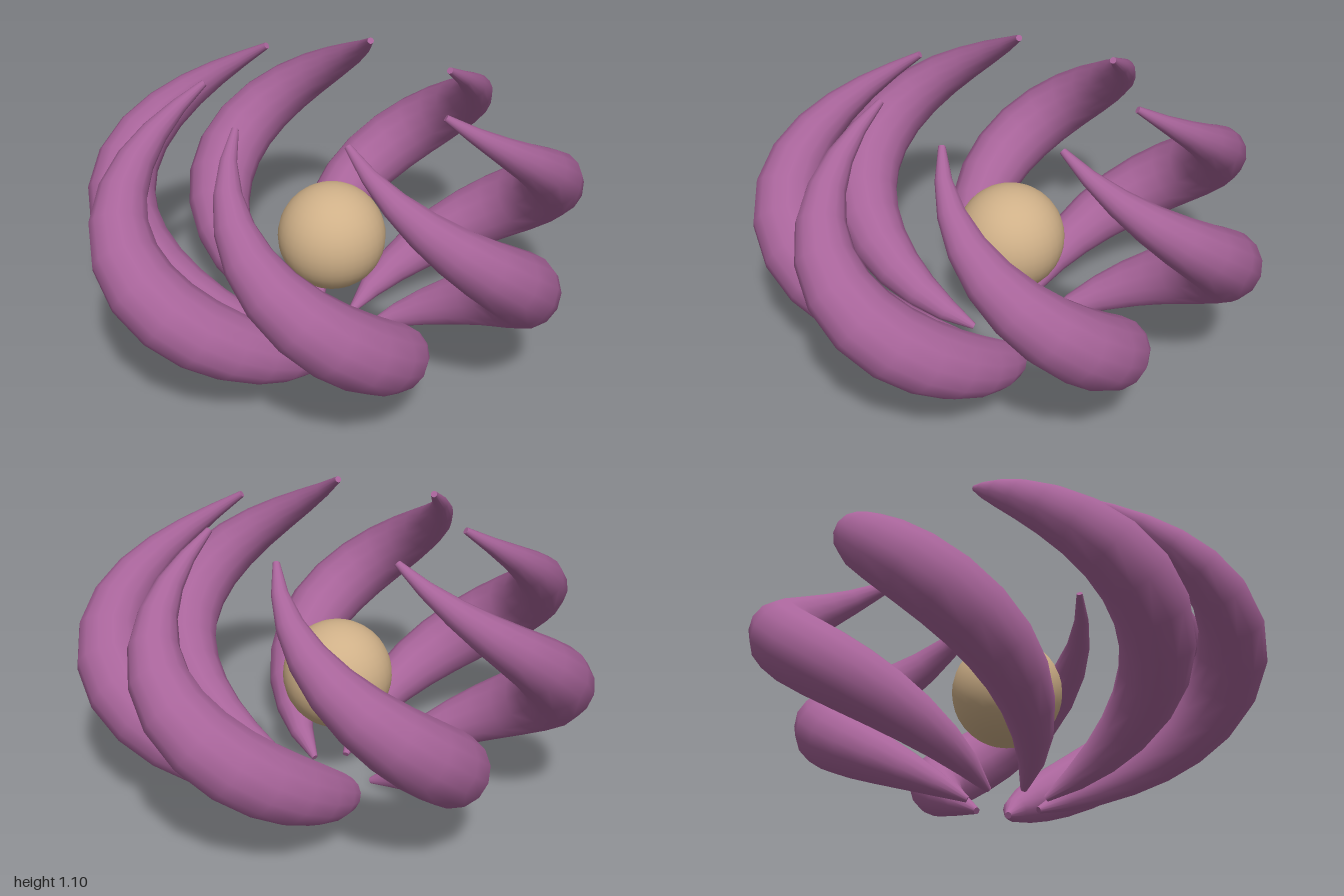
import * as THREE from 'three';

const PETALS = 7;
const SEGMENTS = 15;
const SIDES = 14;
const CENTRE_X = -0.03;

// Centreline of one petal: a quarter-turn spiral that bulges outwards as it climbs
class PetalCurve extends THREE.Curve {
  getPoint(t, target = new THREE.Vector3()) {
    const angle = t * Math.PI / 2;
    const r = 0.15 + 0.33 * t + 0.55 * Math.sin(Math.PI * t);
    return target.set(r * Math.cos(angle), 0.012 + 1.078 * t, r * Math.sin(angle));
  }
}

// Thickness along the petal, fullest just below the middle, thin at both ends
function thickness(t) {
  const s = Math.max(0, Math.sin(Math.PI * Math.pow(t, 0.8)));
  return 0.013 + 0.126 * Math.pow(s, 1.1);
}

// Unit tube whose rings are scaled to the petal thickness
function petalGeometry(curve) {
  const geo = new THREE.TubeGeometry(curve, SEGMENTS, 1, SIDES, false);
  const pos = geo.attributes.position;
  const p = new THREE.Vector3();
  for (let i = 0; i <= SEGMENTS; i++) {
    const u = i / SEGMENTS;
    const centre = curve.getPointAt(u);
    const radius = thickness(curve.getUtoTmapping(u));
    for (let j = 0; j <= SIDES; j++) {
      const k = i * (SIDES + 1) + j;
      p.fromBufferAttribute(pos, k).sub(centre).multiplyScalar(radius).add(centre);
      pos.setXYZ(k, p.x, p.y, p.z);
    }
  }
  return geo;
}

export function createModel() {
  const model = new THREE.Group();
  model.name = 'flower';

  const purple = new THREE.MeshStandardMaterial({ color: 0xa8649a });
  purple.name = 'petalPurple';
  const tan = new THREE.MeshStandardMaterial({ color: 0xcfb088 });
  tan.name = 'centreTan';

  // Ring of spiral petals with closed ends
  const curve = new PetalCurve();
  const geo = petalGeometry(curve);
  const capGeo = new THREE.CircleGeometry(0.013, SIDES);
  for (let i = 0; i < PETALS; i++) {
    const petal = new THREE.Group();
    petal.name = 'petal' + (i + 1);
    const body = new THREE.Mesh(geo, purple);
    body.name = 'petalBody';
    petal.add(body);
    for (const [u, dir, name] of [[0, -1, 'petalBaseCap'], [1, 1, 'petalTipCap']]) {
      const cap = new THREE.Mesh(capGeo, purple);
      cap.name = name;
      cap.position.copy(curve.getPointAt(u));
      cap.quaternion.setFromUnitVectors(
        new THREE.Vector3(0, 0, 1),
        curve.getTangentAt(u).multiplyScalar(dir)
      );
      petal.add(cap);
    }
    petal.position.x = CENTRE_X;
    petal.rotation.y = -i * 2 * Math.PI / PETALS;
    model.add(petal);
  }

  // Ball in the middle
  const centre = new THREE.Mesh(new THREE.SphereGeometry(0.213, 32, 20), tan);
  centre.name = 'centreBall';
  centre.position.set(CENTRE_X, 0.457, 0);
  model.add(centre);

  return model;
}
